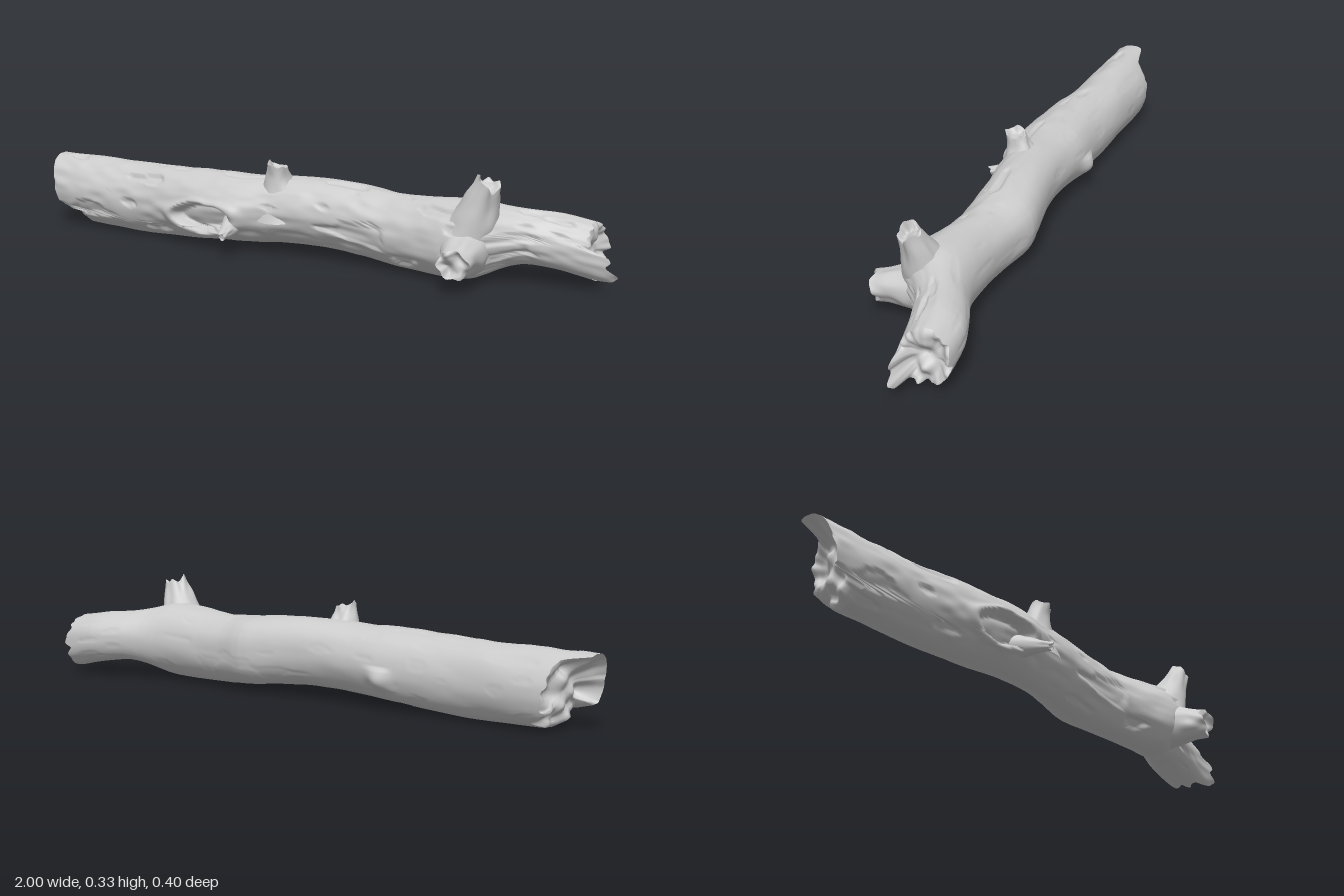
import * as THREE from 'three';

const V = (x, y, z) => new THREE.Vector3(x, y, z);
const { smoothstep, lerp } = THREE.MathUtils;
const bump = (t) => Math.exp(-t * t);
const material = new THREE.MeshStandardMaterial({ color: 0xcccccc, side: THREE.DoubleSide });

// Seeded smooth noise, -1..1
function hash(x, y, z) {
  const s = Math.sin(x * 127.1 + y * 311.7 + z * 74.7) * 43758.5453;
  return (s - Math.floor(s)) * 2 - 1;
}
function noise(x, y, z) {
  const [i, j, k] = [x, y, z].map(Math.floor);
  const [u, v, w] = [x - i, y - j, z - k].map((t) => t * t * (3 - 2 * t));
  const edge = (b, c) => lerp(hash(i, b, c), hash(i + 1, b, c), u);
  const face = (c) => lerp(edge(j, c), edge(j + 1, c), v);
  return lerp(face(k), face(k + 1), w);
}

// Smooth skin over a list of closed rings
function loft(rings) {
  const n = rings[0].length, index = [];
  for (let i = 0; i < rings.length - 1; i++) {
    for (let j = 0; j < n; j++) {
      const k = (j + 1) % n, a = i * n, b = a + n;
      index.push(a + j, b + j, a + k, b + j, b + k, a + k);
    }
  }
  const g = new THREE.BufferGeometry().setFromPoints(rings.flat());
  g.setIndex(index);
  g.computeVertexNormals();
  return g;
}

// Splintered, sunken end face closing a ring
function brokenEnd(edge, axis, depth, rough, atStart = false) {
  const centre = edge.reduce((s, p) => s.add(p), V(0, 0, 0)).divideScalar(edge.length);
  const rings = [];
  for (let i = 0; i <= 12; i++) {
    const s = 1 - i / 12;
    rings.push(edge.map((p) => {
      const q = centre.clone().lerp(p, s);
      const along = p.clone().sub(centre).dot(axis);
      // the ragged rim fades quickly to an uneven middle
      const flat = q.clone().addScaledVector(axis, -along * s);
      const jag = noise(flat.x * 26, flat.y * 26, flat.z * 26) * rough * Math.min(1, i / 3);
      return flat.addScaledVector(axis, along * s ** 4 + jag - depth * smoothstep(1 - s, 0, 0.5));
    }));
  }
  return loft(atStart ? rings.reverse() : rings);
}

function part(name, geometries) {
  const group = new THREE.Group();
  group.name = name;
  geometries.forEach((g, i) => {
    const m = new THREE.Mesh(g, material);
    m.name = name + (i ? 'BrokenEnd' + i : 'Bark');
    group.add(m);
  });
  return group;
}

// Trunk outline: x, bottom, top, back, front
const outline = [
  [-1.0, 0.02, 0.238, -0.108, 0.055], [-0.85, 0.01, 0.233, -0.122, 0.07],
  [-0.6, 0.006, 0.235, -0.113, 0.088], [-0.4, 0.015, 0.24, -0.107, 0.11],
  [-0.3, 0.024, 0.242, -0.112, 0.122], [-0.2, 0.032, 0.243, -0.103, 0.122],
  [-0.1, 0.04, 0.25, -0.102, 0.092], [0.0, 0.042, 0.253, -0.112, 0.082],
  [0.1, 0.036, 0.251, -0.128, 0.073], [0.2, 0.025, 0.243, -0.144, 0.073],
  [0.3, 0.014, 0.231, -0.119, 0.08], [0.4, 0.011, 0.235, -0.107, 0.094],
  [0.5, 0.009, 0.245, -0.107, 0.117], [0.58, 0.013, 0.252, -0.114, 0.122],
  [0.64, 0.045, 0.232, -0.13, 0.065], [0.7, 0.062, 0.22, -0.157, 0.01],
  [0.8, 0.048, 0.212, -0.196, -0.02], [0.9, 0.027, 0.195, -0.197, -0.04],
  [1.0, 0.02, 0.18, -0.185, -0.042],
];
function sample(x, c) {
  const at = (t) => {
    let i = 0;
    while (i < outline.length - 2 && t > outline[i + 1][0]) i++;
    const [p, q] = [outline[i], outline[i + 1]];
    return lerp(p[c], q[c], Math.min(1, Math.max(0, (t - p[0]) / (q[0] - p[0]))));
  };
  return (at(x - 0.03) + at(x) * 2 + at(x + 0.03)) / 4;
}

// Ragged x limits of the trunk for each direction around it
function leftLimit(a) {
  const s = Math.sin(a), c = Math.cos(a);
  const low = smoothstep(-s, 0.45, 0.6), back = smoothstep(-c, 0.35, 0.6);
  return -1 + 0.03 * (1 - s) * (1 - low) + Math.max(0.13 * low, 0.075 * back)
    + 0.014 * (1 + noise(c * 5, s * 5, 3)) * (low + back);
}
function rightLimit(a) {
  const s = Math.sin(a), c = Math.cos(a);
  const tongue = smoothstep(a, -1.0, -0.75) * (1 - smoothstep(a, 0.1, 0.3));
  return 0.9 + tongue * (0.087 - 0.03 * (a + 0.75)) + 0.016 * noise(c * 4, s * 4, 9);
}

function trunkPoint(x, a) {
  const s = Math.sin(a), c = Math.cos(a);
  const [lo, hi, back, front] = [1, 2, 3, 4].map((k) => sample(x, k));
  const cy = (lo + hi) / 2, cz = (back + front) / 2;
  // bark: broad lumps, fine ripples and chipped patches, smooth on the back
  const rough = 0.15 + 0.85 * smoothstep(c + s * 0.3, -0.2, 0.7);
  let d = 0.005 * noise(x * 6, s * 1.6, c * 1.6)
    + 0.003 * rough * noise(x * 18, s * 5, c * 5 + 4)
    - 0.007 * rough * smoothstep(noise(x * 11, s * 4 + 5, c * 4), 0.4, 0.52);
  // small knob on the back
  d += 0.022 * bump((x + 0.32) / 0.035) * bump((a + Math.PI - 0.25) / 0.3);
  const y = cy + s * (hi - lo) / 2, z = cz + c * (front - back) / 2;
  // rotted hollow with a raised lip
  let sink = 0;
  if (c > 0) {
    const e = Math.hypot((x + 0.33) / 0.122, (y - 0.11 - (x + 0.33) * 0.08) / 0.046)
      + 0.1 * noise(x * 20, y * 25, 2);
    d += 0.011 * bump((e - 1.08) / 0.18);
    sink = 0.04 * (1 - smoothstep(e, 0.78, 0.96));
  }
  return V(x, y + s * d, z + c * d - sink);
}

function trunk() {
  const steps = 230, around = 112, rings = [];
  for (let i = 0; i <= steps; i++) {
    rings.push(Array.from({ length: around }, (_, j) => {
      const a = (j / around) * Math.PI * 2 - Math.PI;
      return trunkPoint(lerp(leftLimit(a), rightLimit(a), i / steps), a);
    }));
  }
  return part('trunk', [
    loft(rings),
    brokenEnd(rings[0], V(-1, 0, 0), 0.03, 0.03, true),
    brokenEnd(rings[steps], V(1, 0, 0), 0.02, 0.03),
  ]);
}

// Broken branch stub: base buried in the trunk, lumpy sides, jagged tip
function stub(name, from, to, r0, r1, flare, jag) {
  const axis = to.clone().sub(from), length = axis.length();
  axis.normalize();
  const u = V(1, 0, 0).addScaledVector(axis, -axis.x).normalize();
  const v = u.clone().cross(axis);
  const rings = [];
  for (let i = 0; i <= 24; i++) {
    const t = i / 24;
    rings.push(Array.from({ length: 40 }, (_, j) => {
      const a = (j / 40) * Math.PI * 2, c = Math.cos(a), s = Math.sin(a);
      const lump = 1 + 0.18 * t * noise(c * 2 + from.x * 9, s * 2, t * 4);
      const r = lerp(r1, r0, (1 - t) ** flare) * lump;
      const h = t * length + t * t * jag * noise(c * 1.5 + from.x * 30, s * 1.5, 6);
      return from.clone().addScaledVector(axis, h)
        .addScaledVector(u, c * r).addScaledVector(v, s * r);
    }));
  }
  return part(name, [loft(rings), brokenEnd(rings[24], axis, jag * 0.4, jag * 0.5)]);
}

export function createModel() {
  const model = new THREE.Group();
  model.name = 'fallenLog';
  model.add(
    trunk(),
    stub('upperBranchStub', V(0.55, 0.12, 0.02), V(0.63, 0.305, 0.05), 0.1, 0.034, 1.15, 0.034),
    stub('frontBranchStub', V(0.555, 0.11, 0.01), V(0.592, 0.095, 0.178), 0.092, 0.044, 1.2, 0.026),
    stub('topKnot', V(-0.095, 0.14, 0.005), V(-0.088, 0.29, 0.042), 0.1, 0.03, 1.4, 0.018),
    stub('hollowSplinter', V(-0.235, 0.1, 0.05), V(-0.207, 0.075, 0.18), 0.045, 0.012, 1.2, 0.014),
  );
  return model;
}
